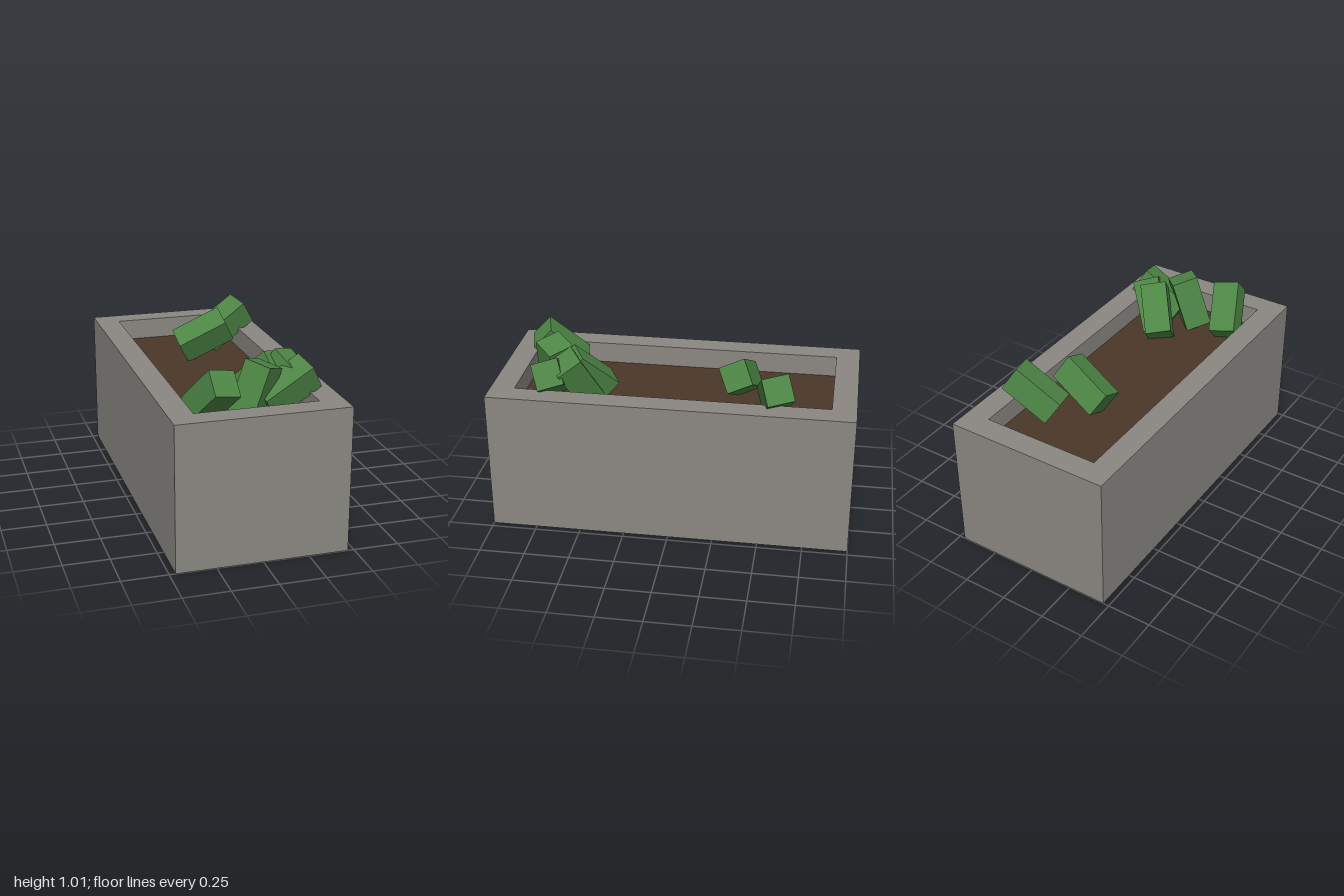
import * as THREE from 'three';

const V = (p) => new THREE.Vector3(...p);

// Rectangle outline centred on the origin
function rect(Type, w, h) {
  const r = new Type();
  r.moveTo(-w / 2, -h / 2);
  r.lineTo(w / 2, -h / 2);
  r.lineTo(w / 2, h / 2);
  r.lineTo(-w / 2, h / 2);
  r.closePath();
  return r;
}

// Tumbled leafy block: its long axis and one side axis give the tilt
function leafBlock(geometry, material, [center, long, side]) {
  const x = V(long).normalize();
  const y = V(side);
  y.addScaledVector(x, -y.dot(x)).normalize();
  const z = x.clone().cross(y);
  const mesh = new THREE.Mesh(geometry, material);
  mesh.quaternion.setFromRotationMatrix(new THREE.Matrix4().makeBasis(x, y, z));
  mesh.position.set(...center);
  return mesh;
}

export function createModel() {
  const stone = new THREE.MeshStandardMaterial({ color: 0x8b8882 });
  stone.name = 'stone';
  const earth = new THREE.MeshStandardMaterial({ color: 0x4a3728 });
  earth.name = 'earth';
  const leaf = new THREE.MeshStandardMaterial({ color: 0x4d8645 });
  leaf.name = 'leaf';

  const model = new THREE.Group();
  model.name = 'planter';

  // Stone walls, open at the top and the bottom
  const outline = rect(THREE.Shape, 0.933, 2);
  outline.holes.push(rect(THREE.Path, 0.667, 1.733));
  const wallGeometry = new THREE.ExtrudeGeometry(outline, { depth: 0.8, bevelEnabled: false });
  wallGeometry.rotateX(-Math.PI / 2);
  const walls = new THREE.Mesh(wallGeometry, stone);
  walls.name = 'planterWalls';
  model.add(walls);

  // Slab of soil held between the walls
  const soil = new THREE.Mesh(new THREE.BoxGeometry(0.667, 0.2, 1.733), earth);
  soil.position.y = 0.58;
  soil.name = 'soil';
  model.add(soil);

  // Plants: centre, long axis, side axis
  const plants = new THREE.Group();
  plants.name = 'plants';
  const block = new THREE.BoxGeometry(0.3, 0.15, 0.15);
  [
    [[0.066, 0.826, -0.357], [0.27, 0.135, 0.042], [0.069, -0.12, -0.058]],
    [[0.253, 0.83, -0.56], [0.241, 0.159, -0.04], [0.075, -0.125, -0.045]],
    [[-0.203, 0.826, 0.727], [0.087, 0.2, 0.201], [0.154, -0.03, -0.04]],
    [[0.04, 0.828, 0.7], [0.1, 0.282, -0.01], [0.111, -0.032, 0.122]],
    [[0.14, 0.826, 0.495], [0.143, 0.2, 0.17], [0.135, -0.03, -0.08]],
    [[0.223, 0.828, 0.684], [0.255, 0.15, -0.02], [0.075, -0.13, -0.053]],
    [[0.21, 0.826, 0.544], [0.136, 0.25, 0.098], [0.125, -0.035, -0.085]],
  ].forEach((spec, i) => {
    const mesh = leafBlock(block, leaf, spec);
    mesh.name = `leafBlock${i + 1}`;
    plants.add(mesh);
  });
  model.add(plants);

  return model;
}
